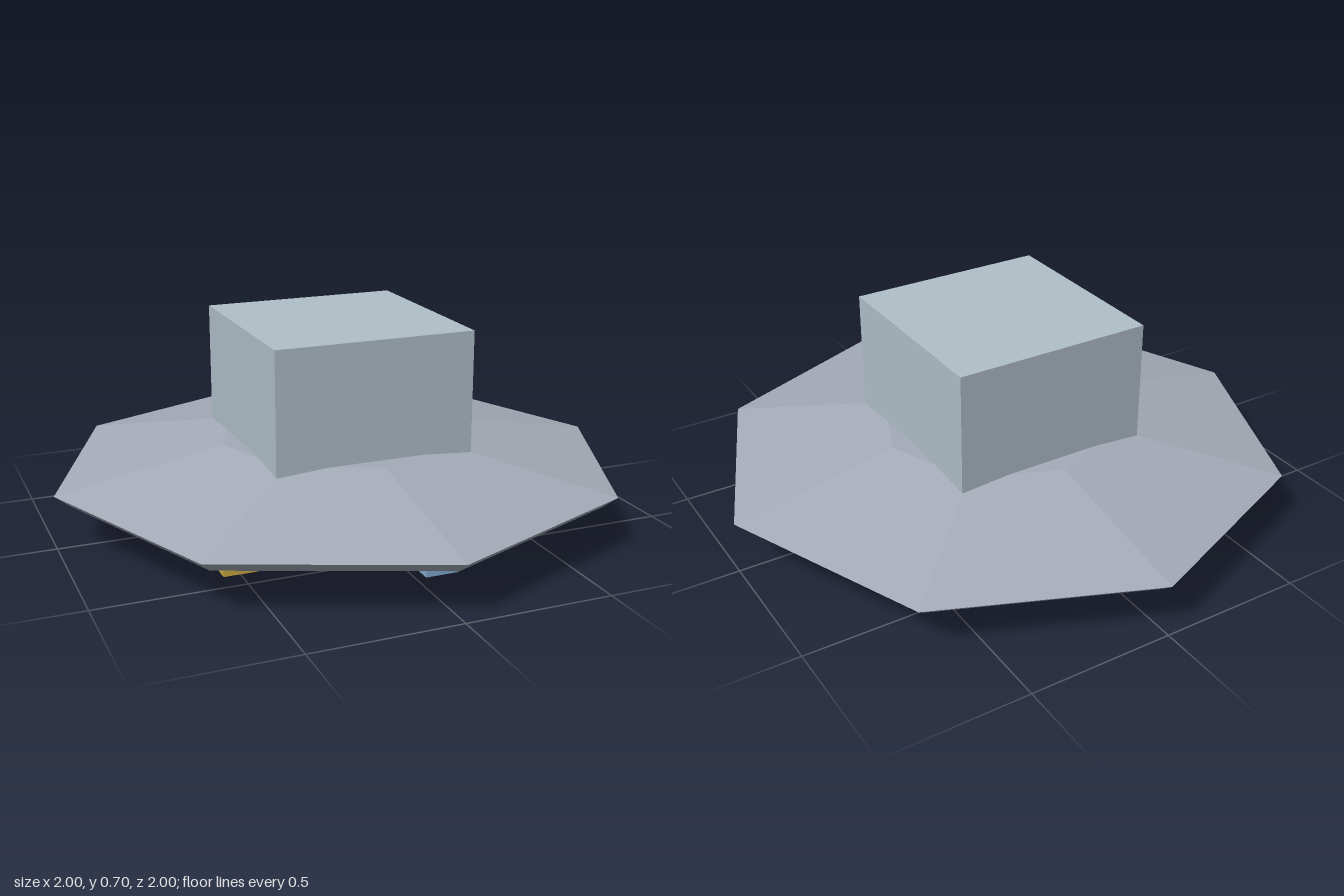
import * as THREE from 'three';

function material(name, color) {
  const m = new THREE.MeshStandardMaterial({ color });
  m.name = name;
  return m;
}

export function createModel() {
  const group = new THREE.Group();
  group.name = 'flyingSaucer';

  const hull = material('hullGrey', 0xa5acb8);
  const cabin = material('paleBlueGrey', 0xb0bfc8);
  const lamps = [
    material('lampYellow', 0xc9aa3e),
    material('lampPink', 0xd072a2),
    material('lampBlue', 0x80a9cd),
  ];

  const add = (name, geometry, mat, x, y, z) => {
    const mesh = new THREE.Mesh(geometry, mat);
    mesh.name = name;
    mesh.position.set(x, y, z);
    group.add(mesh);
  };

  // Eight-sided disc, profile from the underside up to the top, flat facets
  const profile = [[0, 0.06], [0.35, 0.06], [0.95, 0.145], [1, 0.185], [0.42, 0.29], [0, 0.29]]
    .map(([r, y]) => new THREE.Vector2(r, y));
  const disc = new THREE.LatheGeometry(profile, 8).toNonIndexed();
  disc.computeVertexNormals();
  add('disc', disc, hull, 0, 0, 0);

  // Cube cabin running through the disc
  add('cabin', new THREE.BoxGeometry(0.7, 0.7, 0.7), cabin, 0, 0.35, 0);

  // Ring of square lamps under the disc, from +x round towards +z
  const lampGeometry = new THREE.BoxGeometry(0.11, 0.06, 0.11);
  for (let i = 0; i < 8; i++) {
    const a = (i * Math.PI) / 4;
    add(`lamp${i + 1}`, lampGeometry, lamps[i % 3], 0.79 * Math.cos(a), 0.12, 0.79 * Math.sin(a));
  }

  return group;
}
